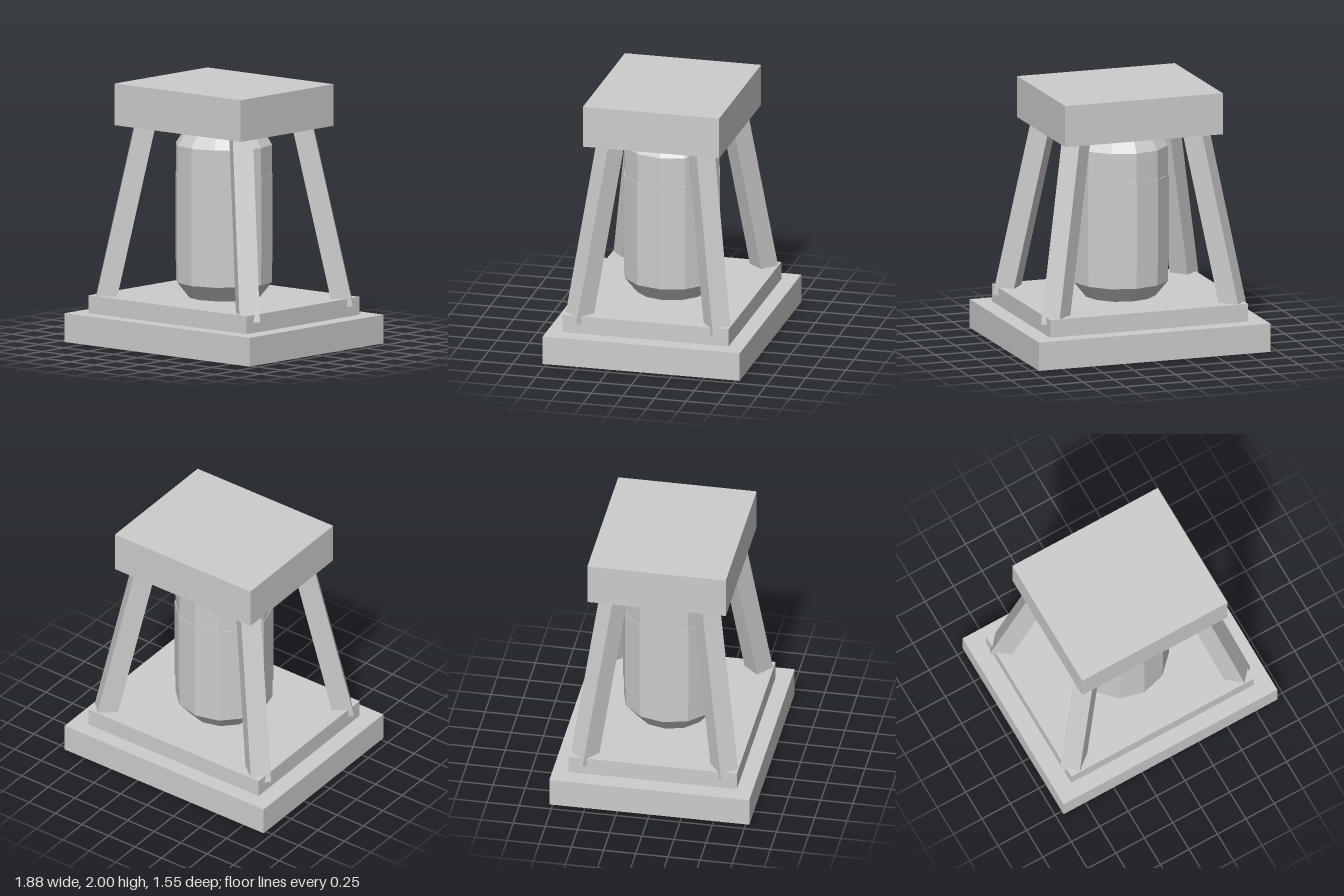
import * as THREE from 'three';

const stone = new THREE.MeshStandardMaterial({ color: 0xcccccc });
stone.name = 'light grey';
stone.flatShading = true;

function part(name, geometry) {
  const mesh = new THREE.Mesh(geometry, stone);
  mesh.name = name;
  return mesh;
}

// Rectangular slab, given half sizes and its bottom and top heights
function slab(name, hx, hz, y0, y1) {
  const mesh = part(name, new THREE.BoxGeometry(hx * 2, y1 - y0, hz * 2));
  mesh.position.y = (y0 + y1) / 2;
  return mesh;
}

// Leaning leg: four edges follow one slope; sx and sz choose the corner
function legGeometry(sx, sz) {
  // Corner [x, z] at y = 0.30, then the height of its lower end
  const corners = {
    outerSide: [0.838, 0.54, 0.305],
    outerEnd: [0.735, 0.657, 0.3],
    innerEnd: [0.612, 0.557, 0.265],
    innerSide: [0.715, 0.44, 0.27],
  };
  const topY = 1.76;
  const geometry = new THREE.BoxGeometry(1, 1, 1);
  const pos = geometry.attributes.position;
  for (let i = 0; i < pos.count; i++) {
    const px = pos.getX(i) * sx > 0, pz = pos.getZ(i) * sz > 0;
    const c = px ? (pz ? corners.outerEnd : corners.outerSide)
      : (pz ? corners.innerEnd : corners.innerSide);
    const y = pos.getY(i) > 0 ? topY : c[2];
    const t = (y - 0.3) / 1.38;
    pos.setXYZ(i, sx * (c[0] - 0.238 * t), y, sz * (c[1] - 0.191 * t));
  }
  geometry.computeVertexNormals();
  return geometry;
}

export function createModel() {
  const group = new THREE.Group();
  group.name = 'pedestal';

  // Stepped base and roof block
  group.add(slab('base', 0.94, 0.777, 0, 0.222));
  group.add(slab('plinth', 0.803, 0.655, 0.222, 0.36));
  group.add(slab('cap', 0.64, 0.538, 1.678, 2));

  // Twelve-sided drum with tapered ends
  const profile = [[0, 0.34], [0.26, 0.34], [0.374, 0.48], [0.374, 1.54], [0.265, 1.7], [0, 1.7]]
    .map(([r, y]) => new THREE.Vector2(r, y));
  group.add(part('drum', new THREE.LatheGeometry(profile, 12)));

  // Thin sleeve around the drum
  const sleeve = part('sleeve', new THREE.CylinderGeometry(0.379, 0.379, 0.68, 12));
  sleeve.position.y = 0.97;
  group.add(sleeve);

  // Four leaning corner legs
  for (const sx of [-1, 1]) {
    for (const sz of [-1, 1]) {
      group.add(part(`${sz > 0 ? 'front' : 'back'}${sx > 0 ? 'Left' : 'Right'}Leg`, legGeometry(sx, sz)));
    }
  }
  return group;
}
